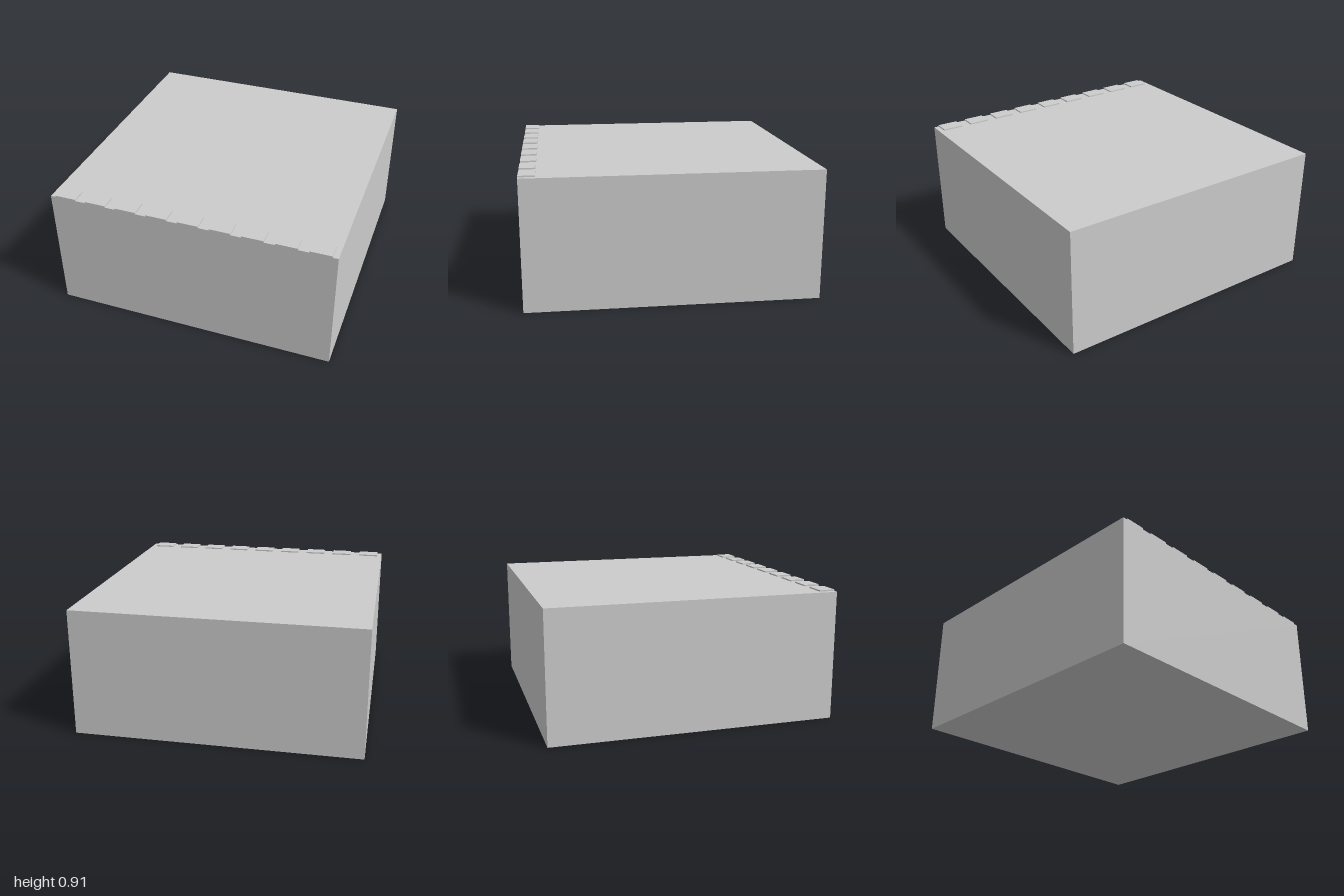
import * as THREE from 'three';

export function createModel() {
  const model = new THREE.Group();
  const material = new THREE.MeshStandardMaterial({ color: 0xcccccc, flatShading: true });

  // Add a box resting on the height y
  function addBox(name, width, height, depth, x, y, z) {
    const mesh = new THREE.Mesh(new THREE.BoxGeometry(width, height, depth), material);
    mesh.name = name;
    mesh.position.set(x, y + height / 2, z);
    model.add(mesh);
  }

  // Main block
  const blockHeight = 0.9;
  addBox('block', 2, blockHeight, 2, 0, 0, 0);

  // Row of thin pads, flush with the front edge of the top
  const count = 9;
  const pitch = 2 / count;
  const padDepth = 0.11;
  for (let i = 0; i < count; i++) {
    const x = -1 + pitch * (i + 0.5);
    addBox(`edgePad${i + 1}`, pitch * 2 / 3, 0.01, padDepth, x, blockHeight, 1 - padDepth / 2);
  }

  return model;
}
